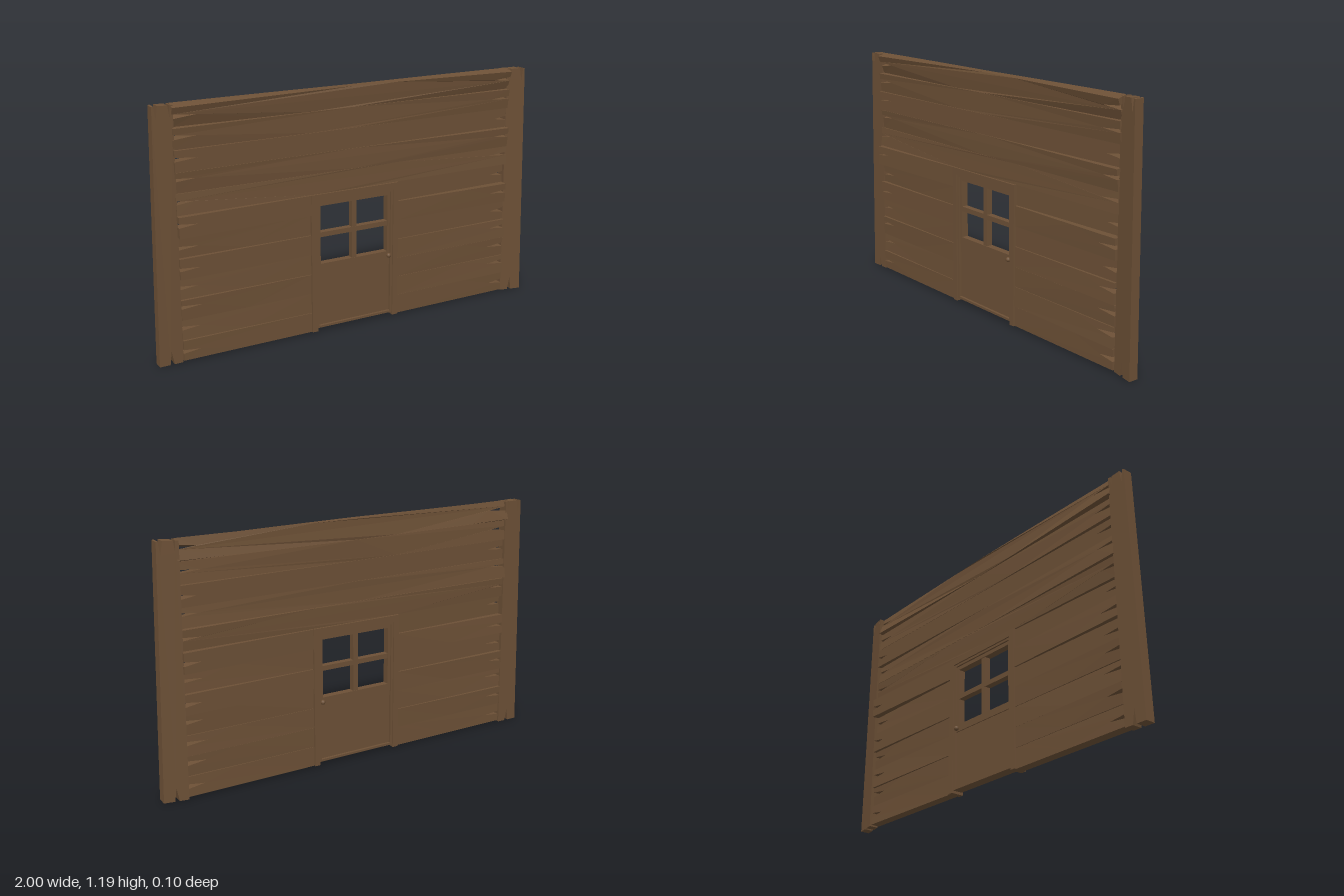
import * as THREE from 'three';

const wood = new THREE.MeshStandardMaterial({ color: 0x6c5036 });
wood.name = 'brown wood';

// Small seeded generator for uneven boards
function seeded(seed) {
  let s = seed;
  return () => (s = (s * 16807) % 2147483647) / 2147483647;
}

function addMesh(parent, name, geometry) {
  const mesh = new THREE.Mesh(geometry, wood);
  mesh.name = name;
  parent.add(mesh);
  return mesh;
}

// Box given by its limits in x and y, centred on z
function slab(parent, name, x0, x1, y0, y1, depth, z = 0) {
  const mesh = addMesh(parent, name, new THREE.BoxGeometry(x1 - x0, y1 - y0, depth));
  mesh.position.set((x0 + x1) / 2, (y0 + y1) / 2, z);
  return mesh;
}

// Extruded outline, centred on z
function extrude(points, depth) {
  const shape = new THREE.Shape(points.map(p => new THREE.Vector2(p[0], p[1])));
  const g = new THREE.ExtrudeGeometry(shape, { depth, bevelEnabled: false });
  return g.translate(0, 0, -depth / 2);
}

// Horizontal board with split ends; bend(x) gives its z shift and its lean
function plank(parent, name, x0, x1, y0, y1, cracks, bend) {
  const pts = [];
  const n = 8;
  for (let i = 0; i <= n; i++) pts.push([x0 + (x1 - x0) * i / n, y0]);
  for (const [y, len, h] of cracks.right) pts.push([x1, y - h], [x1 - len, y], [x1, y + h]);
  for (let i = n; i >= 0; i--) pts.push([x0 + (x1 - x0) * i / n, y1]);
  for (const [y, len, h] of cracks.left) pts.push([x0, y + h], [x0 + len, y], [x0, y - h]);
  const g = extrude(pts, 0.046);
  const p = g.attributes.position;
  const mid = (y0 + y1) / 2;
  for (let i = 0; i < p.count; i++) {
    const { shift, lean } = bend(p.getX(i));
    const y = p.getY(i) - mid, z = p.getZ(i);
    p.setY(i, mid + y * Math.cos(lean) - z * Math.sin(lean));
    p.setZ(i, y * Math.sin(lean) + z * Math.cos(lean) + shift);
  }
  g.computeVertexNormals();
  return addMesh(parent, name, g);
}

function buildPlanks() {
  const group = new THREE.Group();
  group.name = 'wallPlanks';
  const rand = seeded(77);
  const END = 0.885, JAMB = 0.232, H = 0.0983;
  // Yaw (z at the left end) and lean at the ends, from the bottom row up
  const yaw = [0.002, -0.004, 0.003, -0.004, 0.012, -0.005, 0.027, 0.004, -0.004, 0.012, 0.003, 0];
  const lean = [0.03, -0.05, 0.05, -0.04, 0, 0.05, 0, -0.08, 0.12, 0, 0.12, 0.33];
  for (let r = 0; r < 12; r++) {
    const y0 = 0.012 + r * H, y1 = y0 + H - 0.001;
    const crack = () => [[y0 + H * (0.45 + 0.2 * rand()), 0.08 + 0.03 * rand(), 0.008 + 0.004 * rand()]];
    const cracks = { left: crack(), right: crack() };
    const bend = x => ({
      shift: -yaw[r] * x / END,
      lean: lean[r] * Math.abs(x) / END,
    });
    if (r < 7) {
      plank(group, 'leftOfDoorPlank', -END, -JAMB, y0, y1, { left: cracks.left, right: [] }, bend);
      plank(group, 'rightOfDoorPlank', JAMB, END, y0, y1, { left: [], right: cracks.right }, bend);
    } else {
      plank(group, 'fullPlank', -END, END, y0, y1, cracks, bend);
    }
  }
  return group;
}

// Leaning corner post with splits at the top and the foot
function buildPost(name, side) {
  const pts = [
    [0.888, 0.005], [0.93, 0.004], [0.942, 0.07], [0.95, 0.004], [1.0, 0.004],
    [0.97, 1.19], [0.962, 1.192], [0.954, 1.13], [0.944, 1.192], [0.9, 1.19],
    [0.893, 1.14], [0.89, 1.19], [0.876, 1.19],
  ].map(([x, y]) => [x * side, y]);
  const g = extrude(side > 0 ? pts : pts.reverse(), 0.048);
  const p = g.attributes.position;
  // The right post is turned a little, the left one sits square
  for (let i = 0; i < p.count; i++) {
    p.setZ(i, p.getZ(i) + (side > 0 ? (p.getX(i) - 0.94) * 0.2 : -0.003));
  }
  g.computeVertexNormals();
  const group = new THREE.Group();
  group.name = name;
  addMesh(group, name + 'Board', g);
  return group;
}

function buildDoor() {
  const door = new THREE.Group();
  door.name = 'door';
  // Surround
  slab(door, 'leftJamb', -0.236, -0.208, 0.012, 0.7, 0.066);
  slab(door, 'rightJamb', 0.208, 0.236, 0.012, 0.7, 0.066);
  slab(door, 'lintel', -0.208, 0.208, 0.667, 0.7, 0.066);
  for (const s of [-1, 1]) {
    slab(door, 'stopBead', s * 0.203 - 0.006, s * 0.203 + 0.006, 0.025, 0.667, 0.052);
  }
  slab(door, 'topBead', -0.198, 0.198, 0.656, 0.667, 0.052);
  slab(door, 'threshold', -0.208, 0.208, 0.025, 0.036, 0.052);
  // Door leaf: solid foot and frame around four open panes
  slab(door, 'lowerPanel', -0.198, 0.198, 0.036, 0.315, 0.026);
  slab(door, 'middleRail', -0.198, 0.198, 0.315, 0.35, 0.036);
  slab(door, 'topRail', -0.198, 0.198, 0.638, 0.656, 0.036);
  slab(door, 'leftStile', -0.198, -0.183, 0.35, 0.638, 0.036);
  slab(door, 'rightStile', 0.183, 0.198, 0.35, 0.638, 0.036);
  slab(door, 'uprightBar', -0.013, 0.013, 0.35, 0.638, 0.03);
  slab(door, 'crossBar', -0.183, 0.183, 0.483, 0.507, 0.032);
  // Knobs on both faces
  for (const s of [-1, 1]) {
    const knob = addMesh(door, 'knob', new THREE.SphereGeometry(0.012, 12, 8));
    knob.position.set(0.188, 0.33, s * 0.026);
  }
  return door;
}

export function createModel() {
  const model = new THREE.Group();
  model.name = 'plankWallWithDoor';
  model.add(buildPlanks(), buildPost('leftPost', 1), buildPost('rightPost', -1), buildDoor());
  return model;
}
